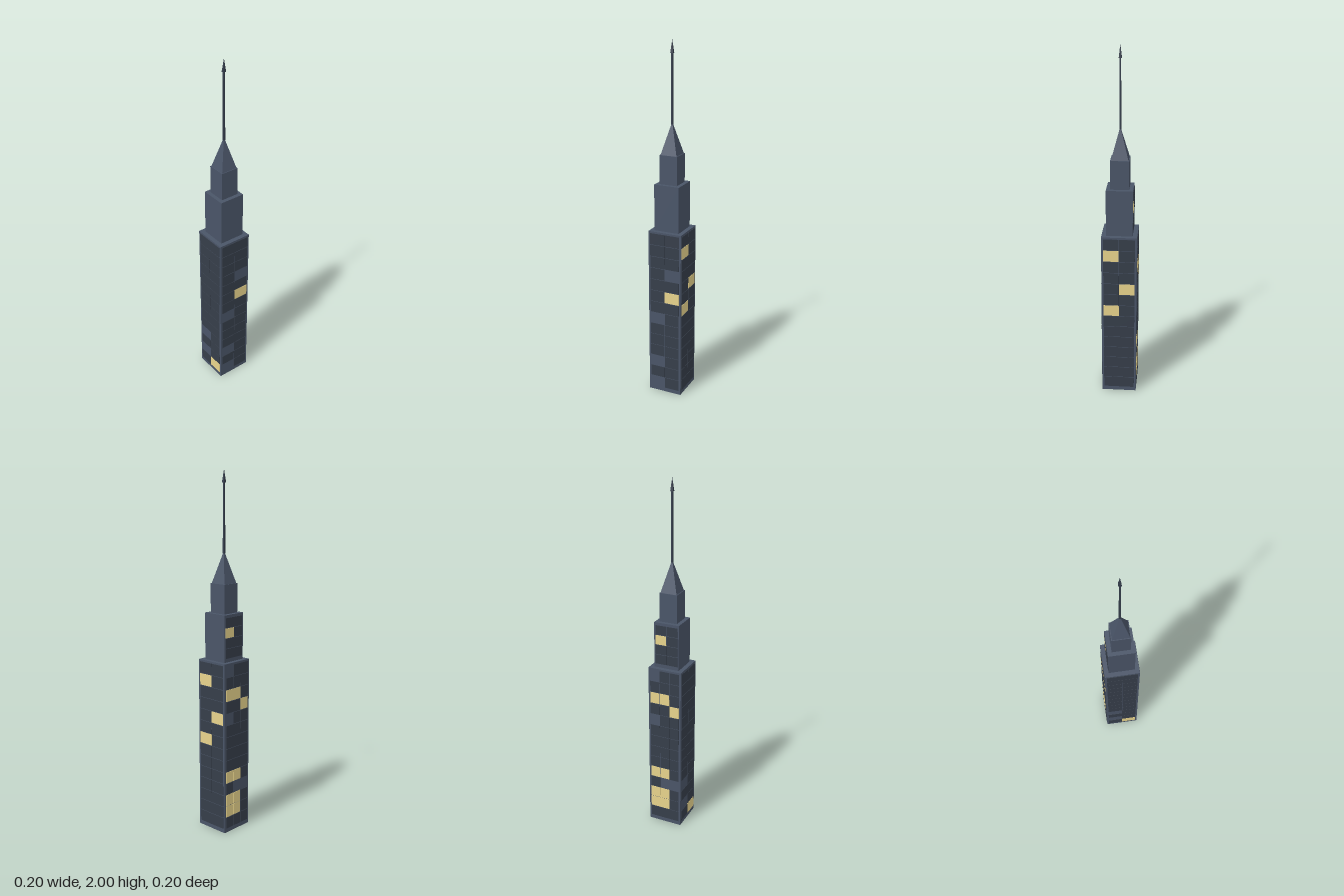
import * as THREE from 'three';

const material = (color) => {
  const m = new THREE.MeshStandardMaterial({ flatShading: true });
  m.color.set(color);
  return m;
};

export function createModel() {
  const group = new THREE.Group();
  const stone = material(0x4a5568);
  const glass = material(0x363e4a);
  const lit = material(0xe8d48c);
  const metal = material(0x353e4c);

  const add = (name, geometry, mat, y, parent = group) => {
    const mesh = new THREE.Mesh(geometry, mat);
    mesh.name = name;
    mesh.position.y = y;
    parent.add(mesh);
    return mesh;
  };

  // A square storey block between two heights
  const block = (name, half, y0, y1) =>
    add(name, new THREE.BoxGeometry(half * 2, y1 - y0, half * 2), stone, (y0 + y1) / 2);

  // Four-sided shaft or point with faces square to the axes
  const square = (name, top, bottom, y0, y1, mat) => add(name,
    new THREE.CylinderGeometry(top * Math.SQRT2, bottom * Math.SQRT2, y1 - y0, 4).rotateY(Math.PI / 4),
    mat, (y0 + y1) / 2);

  // Grid of panes on one wall; lit and blank panes are listed as 'row,column',
  // columns counted from the left as seen from outside
  const windows = (name, { angle, cols, rows, wall, half, y0, y1, on = [], blank = [] }) => {
    const face = new THREE.Group();
    face.name = name;
    face.rotation.y = angle;
    const w = half * 2 / cols, h = (y1 - y0) / rows;
    const pane = new THREE.BoxGeometry(w - 0.002, h - 0.003, 0.004);
    for (let r = 0; r < rows; r++) {
      for (let c = 0; c < cols; c++) {
        const key = `${r},${c}`;
        if (blank.includes(key)) continue;
        const isLit = on.includes(key);
        const mesh = add(isLit ? 'litWindow' : 'window', pane, isLit ? lit : glass, y0 + (r + 0.5) * h, face);
        mesh.position.x = -half + (c + 0.5) * w;
        mesh.position.z = wall;
      }
    }
    group.add(face);
  };

  // Stepped tower
  block('lowerTower', 0.098, 0, 0.98);
  block('middleTower', 0.073, 0.98, 1.24);
  block('upperTower', 0.051, 1.24, 1.4);

  // Roof and antenna
  square('roof', 0, 0.047, 1.4, 1.575, stone);
  square('antenna', 0.004, 0.005, 1.56, 1.95, metal);
  square('antennaTip', 0, 0.008, 1.93, 2, metal);

  // Windows of the lower tower
  const lower = { cols: 2, rows: 14, wall: 0.098, half: 0.088, y0: 0.023, y1: 0.971 };
  windows('frontWindows', { ...lower, angle: 0, on: ['8,1'], blank: ['10,1', '6,0', '2,0', '0,0'] });
  windows('leftWindows', { ...lower, angle: Math.PI / 2, on: ['12,0', '9,1', '7,0'] });
  windows('rightWindows', { ...lower, angle: -Math.PI / 2, on: ['0,1'], blank: ['3,0', '1,0'] });
  windows('backWindows', {
    ...lower, angle: Math.PI, cols: 3,
    on: ['11,0', '11,1', '10,2', '4,0', '4,1', '2,0', '2,1', '1,0', '1,1'],
    blank: ['13,0', '9,0', '3,1', '3,2'],
  });

  // Windows on the back of the middle tower
  windows('middleBackWindows', {
    angle: Math.PI, cols: 2, rows: 4, wall: 0.073, half: 0.066, y0: 1, y1: 1.226, on: ['2,0'],
  });

  return group;
}
